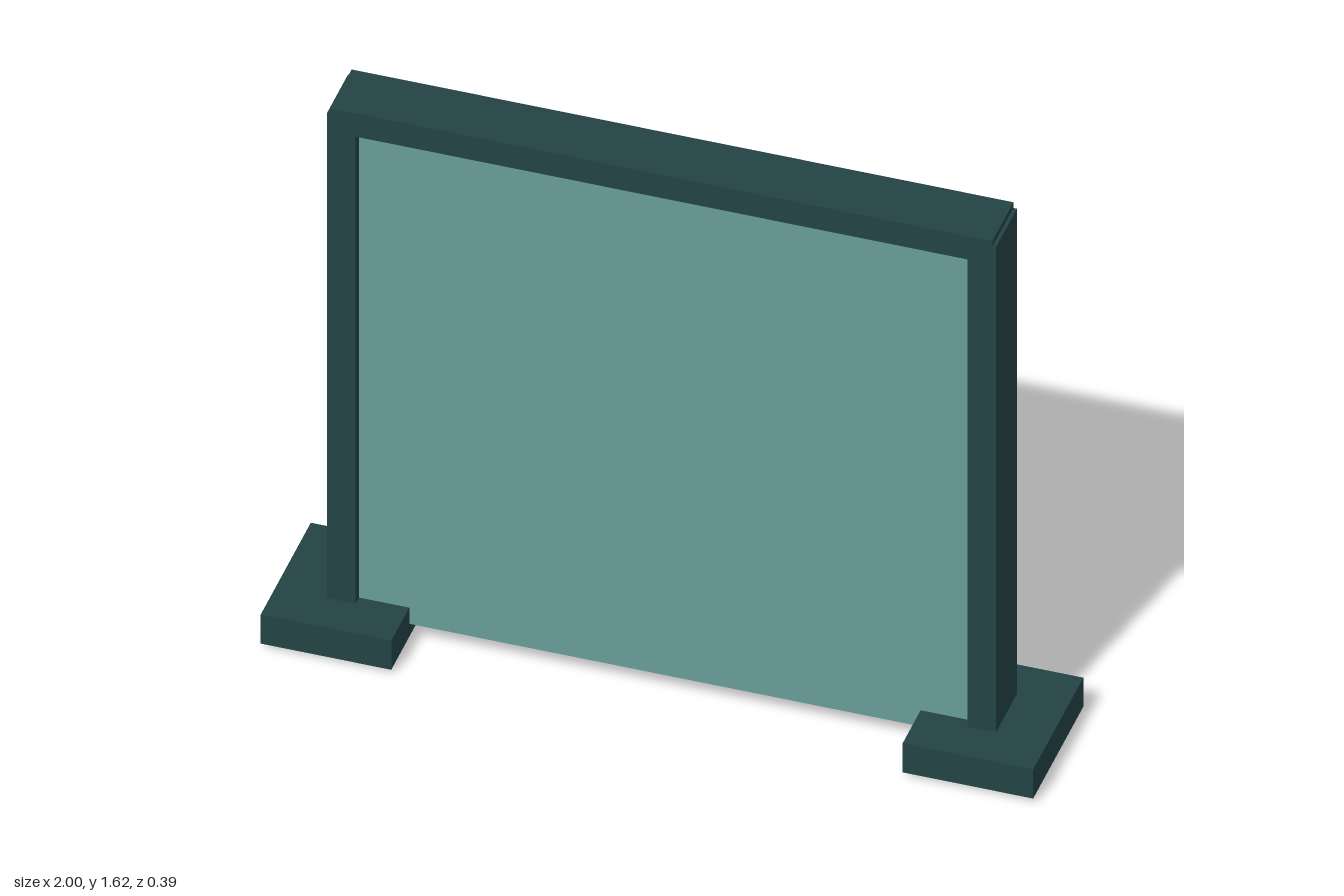
import * as THREE from 'three';

export function createModel() {
  const group = new THREE.Group();
  const frame = new THREE.MeshStandardMaterial({ color: 0x234344 });
  frame.name = 'dark teal frame';
  const pane = new THREE.MeshStandardMaterial({ color: 0x689b99 });
  pane.name = 'pale teal panel';

  // Box given by its x and y extents and its depth, centred on z = 0
  const box = (name, x0, x1, y0, y1, depth, material) => {
    const mesh = new THREE.Mesh(new THREE.BoxGeometry(x1 - x0, y1 - y0, depth), material);
    mesh.position.set((x0 + x1) / 2, (y0 + y1) / 2, 0);
    mesh.name = name;
    group.add(mesh);
  };

  // Infill panel, slightly recessed in the frame
  box('panel', -0.795, 0.795, 0.055, 1.555, 0.11, pane);

  // Top rail, a little shorter than the outer span of the posts
  box('topRail', -0.857, 0.857, 1.55, 1.622, 0.166, frame);

  // Posts passing through flat feet
  for (const [side, s] of [['left', 1], ['right', -1]]) {
    const span = (a, b) => (s > 0 ? [a, b] : [-b, -a]);
    box(side + 'Post', ...span(0.792, 0.866), 0, 1.605, 0.164, frame);
    box(side + 'Foot', ...span(0.662, 1), 0.015, 0.105, 0.392, frame);
  }

  return group;
}
